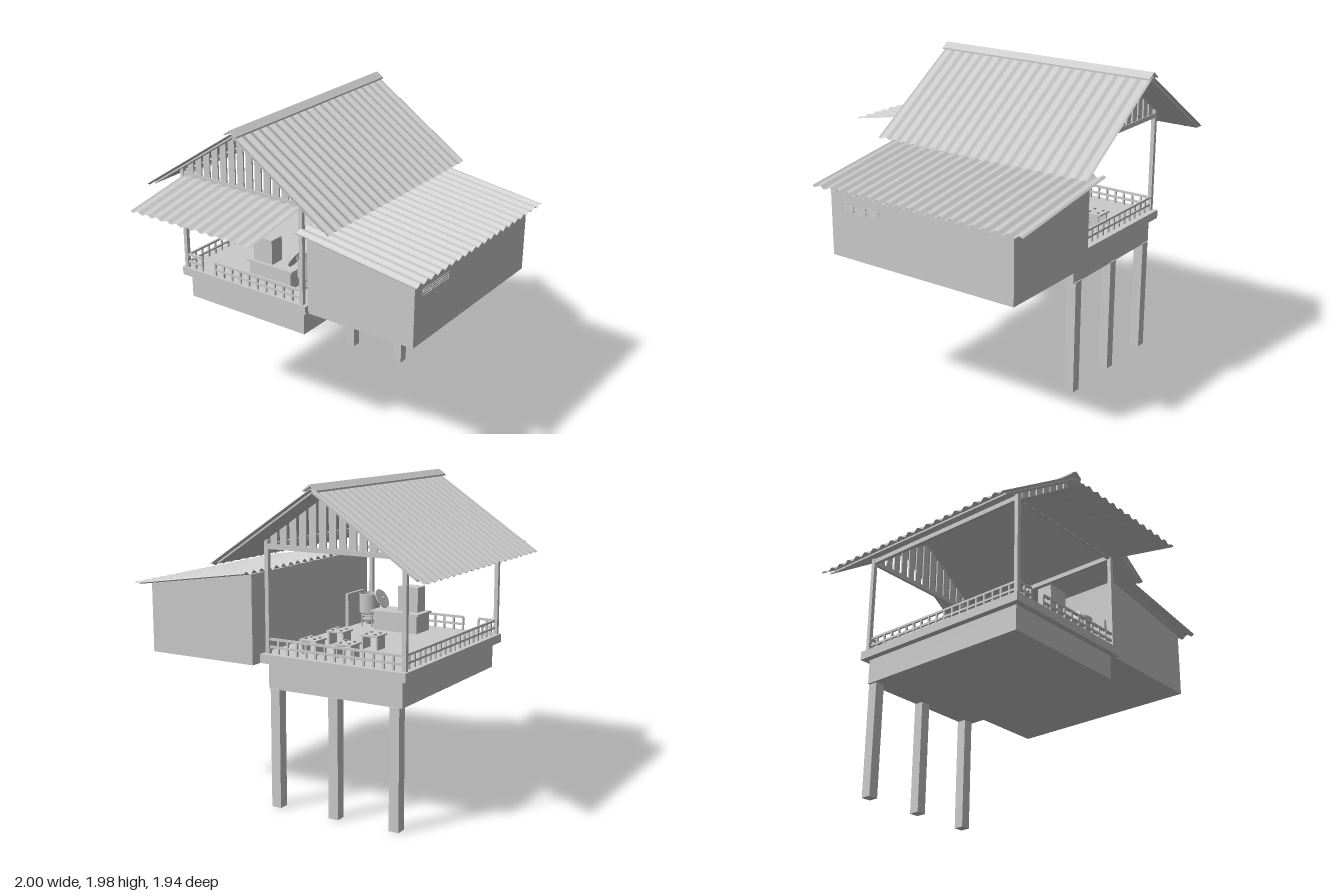
import * as THREE from 'three';

const mat = new THREE.MeshStandardMaterial({ color: 0xcccccc, side: THREE.DoubleSide });

function add(parent, name, geo) {
  const m = new THREE.Mesh(geo, mat);
  m.name = name;
  parent.add(m);
  return m;
}

// Box given by its lower and upper corners
function box(parent, name, x0, x1, y0, y1, z0, z1) {
  const m = add(parent, name, new THREE.BoxGeometry(x1 - x0, y1 - y0, z1 - z0));
  m.position.set((x0 + x1) / 2, (y0 + y1) / 2, (z0 + z1) / 2);
  return m;
}

// Side profile in x,y extruded from z0 to z1
function prism(parent, name, pts, z0, z1) {
  const shape = new THREE.Shape(pts.map(p => new THREE.Vector2(...p)));
  const m = add(parent, name, new THREE.ExtrudeGeometry(shape, { depth: z1 - z0, bevelEnabled: false }));
  m.position.z = z0;
  return m;
}

// Corrugated sheet sloping down from a to b, with waves running along w0..w1
function corrugated(name, a, b, w0, w1, waves, amp) {
  const len = Math.hypot(b[0] - a[0], b[1] - a[1]);
  const geo = new THREE.PlaneGeometry(len, w1 - w0, 1, waves * 10);
  geo.rotateX(-Math.PI / 2);
  const p = geo.attributes.position;
  for (let i = 0; i < p.count; i++) {
    p.setY(i, amp * Math.sin((p.getZ(i) / (w1 - w0)) * waves * Math.PI * 2));
  }
  // the sheet's upper side stays up whichever way it slopes
  const s = b[0] < a[0] ? [b, a] : [a, b];
  geo.rotateZ(Math.atan2(s[1][1] - s[0][1], s[1][0] - s[0][0]));
  geo.translate((a[0] + b[0]) / 2, (a[1] + b[1]) / 2, (w0 + w1) / 2);
  geo.computeVertexNormals();
  const m = new THREE.Mesh(geo, mat);
  m.name = name;
  return m;
}

// Railing between two floor points
function railing(parent, x0, z0, x1, z1) {
  const g = new THREE.Group();
  g.name = 'railing';
  const len = Math.hypot(x1 - x0, z1 - z0);
  for (const y of [0.99, 1.037]) {
    box(g, 'rail', 0, len, y - 0.007, y + 0.007, -0.007, 0.007);
  }
  const n = Math.max(2, Math.round(len / 0.065));
  for (let i = 0; i <= n; i++) {
    const x = (len * i) / n;
    box(g, 'baluster', x - 0.006, x + 0.006, 0.945, 1.035, -0.006, 0.006);
  }
  g.position.set(x0, 0, z0);
  g.rotation.y = -Math.atan2(z1 - z0, x1 - x0);
  parent.add(g);
}

export function createModel() {
  const root = new THREE.Group();
  root.name = 'stiltHouse';
  const cx = -0.297, ridgeY = 1.955, slope = 0.665;

  // Legs, base and floor
  for (const x of [-0.703, -0.297, 0.108]) box(root, 'leg', x - 0.032, x + 0.032, 0, 0.74, -0.742, -0.677);
  box(root, 'base', -0.75, 0.155, 0.735, 0.895, -0.735, 0.47);
  box(root, 'floor', -0.79, 0.195, 0.895, 0.95, -0.775, 0.51);

  // Corner posts and the beams they carry
  for (const x of [-0.764, 0.157]) {
    for (const z of [-0.732, 0.487]) box(root, 'post', x - 0.013, x + 0.013, 0.95, 1.63, z - 0.013, z + 0.013);
    box(root, 'sideBeam', x - 0.012, x + 0.012, 1.575, 1.605, -0.73, 0.485);
  }

  // Railings with an entry gap at the front
  railing(root, -0.755, -0.732, -0.755, 0.487);
  railing(root, -0.755, -0.732, 0.15, -0.732);
  railing(root, -0.755, 0.487, -0.64, 0.487);
  railing(root, -0.53, 0.487, 0.15, 0.487);

  // Slatted gables, front and back
  const under = x => ridgeY - 0.022 - slope * Math.abs(x - cx);
  for (const z of [-0.74, 0.48]) {
    const gable = new THREE.Group();
    gable.name = 'gable';
    box(gable, 'gableBeam', -0.775, 0.17, 1.575, 1.605, z - 0.005, z + 0.015);
    const pitch = 0.067;
    for (let i = -6; i <= 6; i++) {
      const a = cx + i * pitch - 0.024, b = a + 0.048;
      prism(gable, 'slat', i === 0
        ? [[a, 1.59], [b, 1.59], [b, under(b)], [cx, under(cx)], [a, under(a)]]
        : [[a, 1.59], [b, 1.59], [b, under(b)], [a, under(a)]], z, z + 0.01);
    }
    root.add(gable);
  }

  // Main roof: corrugated sheets over flat lining boards, and a ridge cap
  for (const s of [-1, 1]) {
    root.add(corrugated('roofSheet', [cx, ridgeY], [cx + s * 0.702, 1.49], -0.967, 0.57, 20, 0.009));
    const e = cx + s * 0.65, ey = ridgeY - slope * 0.65;
    prism(root, 'roofLining', [[cx, ridgeY - 0.012], [e, ey - 0.012], [e, ey - 0.024], [cx, ridgeY - 0.024]], -0.95, 0.555);
    const c = cx + s * 0.048;
    prism(root, 'ridgeCap', [[cx, 1.982], [c, 1.95], [c, 1.94], [cx, 1.97]], -0.97, 0.572);
  }

  // Front awning, built facing sideways and turned to the front
  const awning = new THREE.Group();
  awning.name = 'awning';
  awning.add(corrugated('awningSheet', [0.49, 1.582], [0.967, 1.497], -0.165, 0.755, 12, 0.008));
  awning.rotation.y = -Math.PI / 2;
  awning.scale.z = 1;
  root.add(awning);

  // Side room with its lean-to roof
  prism(root, 'sideRoom', [[0.19, 0.895], [0.94, 0.895], [0.94, 1.322], [0.19, 1.435]], -0.85, 0.48);
  root.add(corrugated('sideRoof', [0.17, 1.452], [0.998, 1.33], -0.945, 0.575, 20, 0.011));

  // Wall vents: slim raised frames
  for (let i = 0; i < 3; i++) {
    for (const y of [1.207, 1.231]) {
      const z = 0.35 - i * 0.098;
      for (const d of [-0.007, 0.007]) box(root, 'ventBar', 0.936, 0.944, y + d - 0.002, y + d + 0.002, z - 0.046, z + 0.046);
      for (const d of [-0.044, 0.044]) box(root, 'ventEnd', 0.936, 0.944, y - 0.008, y + 0.008, z + d - 0.002, z + d + 0.002);
    }
  }

  // Counter with a cabinet on it, and a panel beside the wall
  box(root, 'counter', -0.335, -0.015, 0.95, 1.065, 0.21, 0.38);
  box(root, 'counterTop', -0.35, 0, 1.065, 1.078, 0.2, 0.39);
  box(root, 'cabinet', -0.31, -0.165, 1.078, 1.24, 0.27, 0.37);
  box(root, 'wallPanel', 0.17, 0.192, 0.95, 1.17, 0.2, 0.42);

  // Cooking pot on a burner, lid leaning beside it
  const stove = new THREE.Group();
  stove.name = 'stove';
  const pot = [[0, 1.035], [0.064, 1.035], [0.067, 1.045], [0.067, 1.163], [0.073, 1.168], [0.062, 1.17], [0.06, 1.05], [0, 1.05]];
  add(stove, 'pot', new THREE.LatheGeometry(pot.map(p => new THREE.Vector2(...p)), 28));
  for (const [r, y] of [[0.052, 1.025], [0.045, 0.997]]) {
    const ring = add(stove, 'burnerRing', new THREE.TorusGeometry(r, 0.006, 6, 24));
    ring.rotation.x = Math.PI / 2;
    ring.position.y = y;
  }
  add(stove, 'burner', new THREE.CylinderGeometry(0.04, 0.025, 0.04, 20)).position.y = 0.985;
  for (let i = 0; i < 4; i++) {
    const a = Math.PI / 4 + i * Math.PI / 2;
    const leg = add(stove, 'burnerLeg', new THREE.CylinderGeometry(0.005, 0.005, 0.09, 6));
    leg.position.set(Math.cos(a) * 0.05, 0.993, Math.sin(a) * 0.05);
  }
  const lid = add(stove, 'lid', new THREE.CylinderGeometry(0.066, 0.066, 0.007, 28));
  lid.position.set(-0.094, 1.14, 0);
  lid.rotation.z = 1.04;
  const knob = add(stove, 'lidKnob', new THREE.SphereGeometry(0.009, 10, 8));
  knob.position.set(-0.106, 1.147, 0);
  stove.position.set(0.07, 0, 0.31);
  root.add(stove);

  // Four dining tables on panel legs with small bowls
  for (const x of [-0.31, -0.07]) for (const z of [-0.6, -0.3]) {
    const t = new THREE.Group();
    t.name = 'table';
    box(t, 'tableTop', -0.06, 0.06, 1.03, 1.04, -0.06, 0.06);
    for (const s of [-0.05, 0.05]) box(t, 'tableSide', s - 0.005, s + 0.005, 0.95, 1.03, -0.045, 0.045);
    for (const bx of [-0.03, 0.03]) for (const bz of [-0.03, 0.03]) {
      add(t, 'bowl', new THREE.CylinderGeometry(0.012, 0.007, 0.01, 10)).position.set(bx, 1.045, bz);
    }
    t.position.set(x, 0, z);
    root.add(t);
  }
  return root;
}
